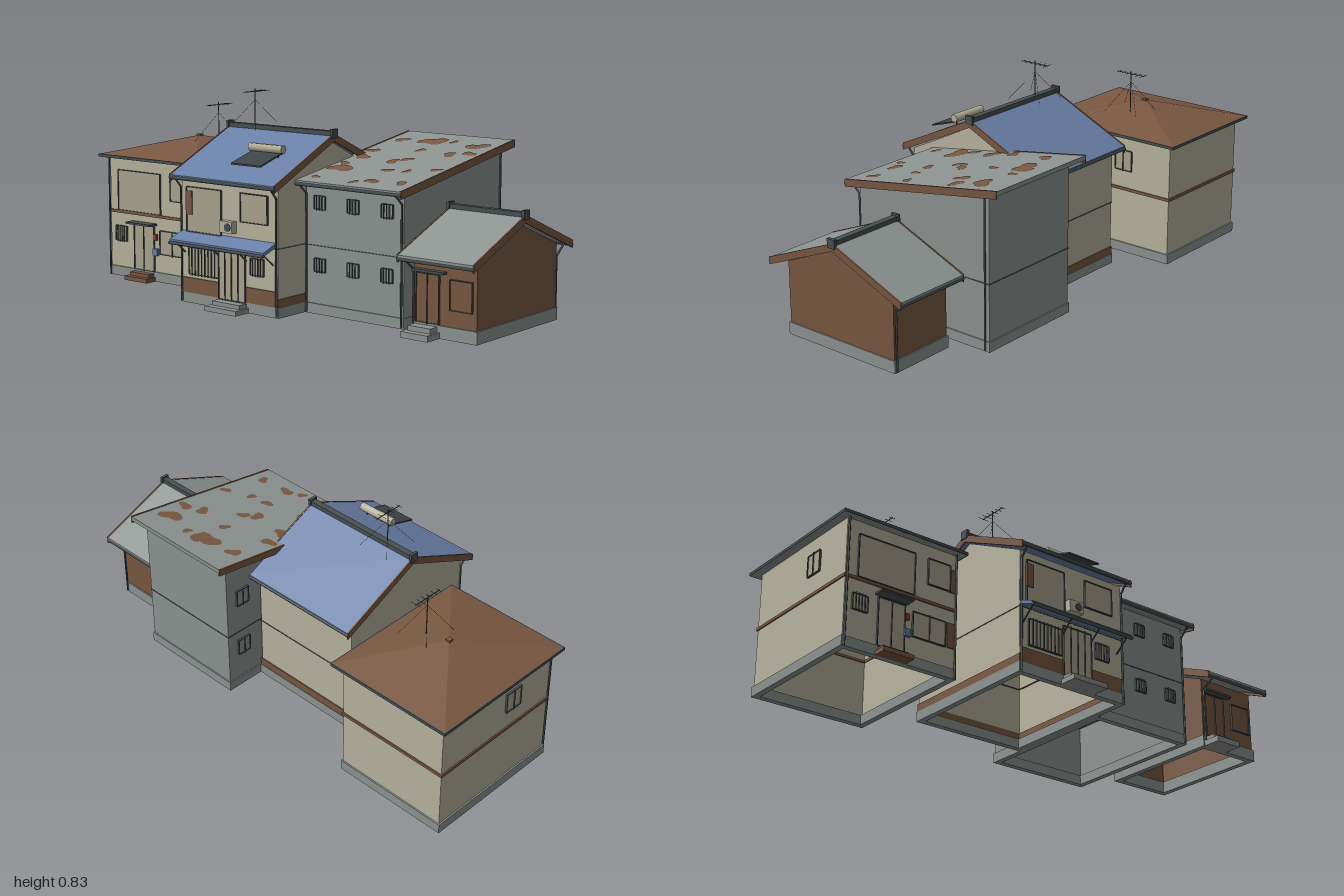
import * as THREE from 'three';

const mat = (name, color) => {
  const m = new THREE.MeshStandardMaterial({ color, side: THREE.DoubleSide });
  m.name = name;
  return m;
};

export function createModel() {
  const cream = mat('cream plaster', 0xb9b49f), shutter = mat('weathered shutter', 0xaca690);
  const grey = mat('grey concrete', 0x8d9491), brown = mat('brown timber', 0x7a5842);
  const blue = mat('blue tile', 0x6a80a8), dark = mat('dark metal', 0x475052);
  const panel = mat('solar panel', 0x3e4446), red = mat('red paint', 0x9a3f34);

  const model = new THREE.Group();
  const house = (name) => {
    const g = new THREE.Group();
    g.name = name;
    model.add(g);
    return g;
  };
  const add = (g, name, geo, m) => {
    const mesh = new THREE.Mesh(geo, m);
    mesh.name = name;
    g.add(mesh);
    return mesh;
  };
  // box given by its limits
  const box = (g, name, x0, x1, y0, y1, z0, z1, m) => {
    const b = add(g, name, new THREE.BoxGeometry(x1 - x0, y1 - y0, z1 - z0), m);
    b.position.set((x0 + x1) / 2, (y0 + y1) / 2, (z0 + z1) / 2);
    return b;
  };
  // side profile of [z, y] points
  const sideShape = (pts) => new THREE.Shape(pts.map(([z, y]) => new THREE.Vector2(-z, y)));
  const extrudeX = (g, name, pts, x0, x1, m) => {
    const geo = new THREE.ExtrudeGeometry(sideShape(pts), { depth: x1 - x0, bevelEnabled: false });
    add(g, name, geo.rotateY(Math.PI / 2), m).position.x = x0;
  };
  const rod = (g, name, a, b, r, m) => {
    const p = new THREE.Vector3(...a), q = new THREE.Vector3(...b);
    const mesh = add(g, name, new THREE.CylinderGeometry(r, r, p.distanceTo(q), 6), m);
    mesh.position.copy(p).add(q).multiplyScalar(0.5);
    mesh.quaternion.setFromUnitVectors(new THREE.Vector3(0, 1, 0), q.sub(p).normalize());
  };
  // open-bottomed wall shell; profile runs from front top to back top
  const walls = (g, x0, x1, profile, m) => {
    const [zf, yf] = profile[0], [zb, yb] = profile[profile.length - 1];
    const pts = [[zf, 0], ...profile, [zb, 0]];
    for (const x of [x0, x1])
      add(g, 'sideWall', new THREE.ShapeGeometry(sideShape(pts)).rotateY(Math.PI / 2), m).position.x = x;
    for (const [n, z, y, r] of [['frontWall', zf, yf, 0], ['backWall', zb, yb, Math.PI]]) {
      const w = add(g, n, new THREE.PlaneGeometry(x1 - x0, y).rotateY(r), m);
      w.position.set((x0 + x1) / 2, y / 2, z);
    }
  };
  // rectangular ring lying flat: outer limits, inset width, bottom and height
  const ring = (g, name, x0, x1, z0, z1, inset, y, h, m) => {
    const rect = (C, d) => new C([[x0 + d, -z0 - d], [x1 - d, -z0 - d], [x1 - d, -z1 + d], [x0 + d, -z1 + d]]
      .map((p) => new THREE.Vector2(...p)));
    const s = rect(THREE.Shape, 0);
    s.holes.push(rect(THREE.Path, inset));
    const geo = new THREE.ExtrudeGeometry(s, { depth: h, bevelEnabled: false }).rotateX(-Math.PI / 2);
    add(g, name, geo, m).position.y = y;
  };
  // sloped slab with boards along both verges
  const slope = (g, x0, x1, a, b, t, m) => {
    const pts = (up, th) => [[a[0], a[1] + up], [b[0], b[1] + up], [b[0], b[1] - th], [a[0], a[1] - th]];
    extrudeX(g, 'roofSlope', pts(0, t), x0 + 0.006, x1 - 0.006, m);
    for (const x of [x0, x1 - 0.006]) extrudeX(g, 'vergeBoard', pts(0.002, 0.028), x, x + 0.006, brown);
  };
  const gable = (g, x0, x1, zc, half, yr, ye, m) => {
    for (const s of [1, -1]) slope(g, x0, x1, [zc, yr], [zc + s * half, ye], 0.018, m);
    box(g, 'ridgeCap', x0, x1, yr - 0.008, yr + 0.012, zc - 0.013, zc + 0.013, dark);
    for (const x of [x0 - 0.004, x1 - 0.008])
      box(g, 'ridgeEnd', x, x + 0.012, yr - 0.016, yr + 0.02, zc - 0.018, zc + 0.018, dark);
  };
  // framed window, optionally with bars
  const win = (g, x, y, z, w, h, pane, bars = 0, turn = 0, name = 'window') => {
    const q = new THREE.Group();
    q.name = name;
    q.position.set(x, y, z);
    q.rotation.y = turn;
    g.add(q);
    const t = 0.0035;
    box(q, 'pane', -w / 2, w / 2, -h / 2, h / 2, 0.001, 0.004, pane);
    for (const s of [1, -1]) {
      box(q, 'jamb', s * w / 2 - t / 2, s * w / 2 + t / 2, -h / 2, h / 2, 0, 0.008, dark);
      box(q, 'rail', -w / 2, w / 2, s * h / 2 - t / 2, s * h / 2 + t / 2, 0, 0.008, dark);
    }
    for (let i = 1; i <= bars; i++) {
      const bx = -w / 2 + (w * i) / (bars + 1);
      box(q, 'bar', bx - 0.0015, bx + 0.0015, -h / 2 - 0.004, h / 2 + 0.004, 0.006, 0.01, dark);
    }
  };
  // gutter along an eave with a downpipe at each listed x
  const gutter = (g, x0, x1, y, z, zWall, pipes) => {
    rod(g, 'gutter', [x0, y, z], [x1, y, z], 0.007, dark);
    for (const x of pipes) {
      const s = Math.sign(z - zWall), zp = zWall + s * 0.008;
      rod(g, 'downpipeElbow', [x, y, z], [x, y - 0.04, zp], 0.004, dark);
      rod(g, 'downpipe', [x, y - 0.04, zp], [x, 0.005, zp], 0.004, dark);
    }
  };
  const antenna = (g, x, z, y0, y1) => {
    rod(g, 'antennaMast', [x, y0, z], [x, y1, z], 0.002, dark);
    const yb = y1 - 0.011;
    rod(g, 'antennaBoom', [x, yb, z - 0.065], [x, yb, z + 0.065], 0.0018, dark);
    for (let i = 0; i < 6; i++) {
      const zz = z - 0.06 + i * 0.024, l = 0.024 - i * 0.002;
      rod(g, 'antennaElement', [x - l, yb, zz], [x + l, yb, zz], 0.001, dark);
    }
    for (const sx of [-1, 1]) for (const sz of [-1, 1])
      rod(g, 'guyWire', [x, y1 - 0.045, z], [x + sx * 0.07, y0 + 0.01, z + sz * 0.08], 0.0006, dark);
  };
  const steps = (g, x0, x1, zw, m, h = 0.036, d = 0.08) => {
    box(g, 'upperStep', x0 + 0.01, x1 - 0.01, 0, h, zw, zw + d * 0.62, m);
    box(g, 'lowerStep', x0, x1, 0, h * 0.55, zw, zw + d, m);
  };

  // Hipped house
  const a = house('hippedHouse');
  walls(a, -0.965, -0.483, [[0.17, 0.508], [-0.425, 0.508]], cream);
  ring(a, 'plinth', -0.971, -0.477, -0.431, 0.176, 0.025, 0, 0.04, grey);
  ring(a, 'floorBand', -0.97, -0.478, -0.43, 0.175, 0.008, 0.27, 0.012, brown);
  const hip = new THREE.ConeGeometry(Math.SQRT1_2, 0.072, 4, 1, true).rotateY(Math.PI / 4).toNonIndexed();
  hip.scale(0.55, 1, 0.666).computeVertexNormals();
  add(a, 'hipRoof', hip, brown).position.set(-0.725, 0.552, -0.128);
  ring(a, 'soffit', -0.998, -0.452, -0.459, 0.203, 0.036, 0.505, 0.01, grey);
  ring(a, 'eaveGutter', -1, -0.45, -0.461, 0.205, 0.006, 0.505, 0.012, dark);
  box(a, 'roofFinial', -0.735, -0.715, 0.575, 0.593, -0.138, -0.118, brown);
  win(a, -0.792, 0.368, 0.17, 0.245, 0.17, shutter);
  win(a, -0.56, 0.4, 0.17, 0.1, 0.105, shutter);
  win(a, -0.9, 0.183, 0.17, 0.064, 0.062, shutter, 4);
  win(a, -0.6, 0.168, 0.17, 0.145, 0.098, shutter, 1);
  win(a, -0.765, 0.135, 0.17, 0.115, 0.19, shutter, 1, 0, 'door');
  box(a, 'doorCanopy', -0.835, -0.695, 0.236, 0.244, 0.17, 0.215, dark);
  box(a, 'mailbox', -0.71, -0.685, 0.11, 0.14, 0.17, 0.182, blue);
  box(a, 'meter', -0.705, -0.69, 0.175, 0.2, 0.17, 0.18, red);
  for (const [y0, y1] of [[0.345, 0.44], [0.12, 0.22]])
    box(a, 'rustPatch', -0.518, -0.484, y0, y1, 0.17, 0.174, brown);
  win(a, -0.965, 0.4, -0.04, 0.08, 0.085, shutter, 1, -Math.PI / 2);
  win(a, -0.483, 0.4, -0.2, 0.08, 0.085, shutter, 1, Math.PI / 2);
  for (const x of [-0.962, -0.486]) rod(a, 'downpipe', [x, 0.505, 0.18], [x, 0, 0.18], 0.004, dark);
  steps(a, -0.83, -0.7, 0.17, brown, 0.032, 0.06);
  antenna(a, -0.617, -0.13, 0.555, 0.735);

  // Blue-roofed house
  const b = house('blueRoofHouse');
  walls(b, -0.345, 0.15, [[0.38, 0.493], [0.07, 0.645], [-0.24, 0.493]], cream);
  ring(b, 'plinth', -0.351, 0.156, -0.246, 0.386, 0.025, 0, 0.04, grey);
  ring(b, 'stainBand', -0.349, 0.154, -0.244, 0.384, 0.008, 0.04, 0.032, brown);
  box(b, 'frontBoarding', -0.345, 0.15, 0.04, 0.1, 0.38, 0.386, brown);
  ring(b, 'floorBand', -0.347, 0.152, -0.242, 0.382, 0.006, 0.262, 0.004, dark);
  gable(b, -0.37, 0.17, 0.07, 0.355, 0.672, 0.507, blue);
  gutter(b, -0.37, 0.17, 0.496, 0.422, 0.38, [-0.342, 0.147]);
  gutter(b, -0.37, 0.17, 0.496, -0.283, -0.24, []);
  extrudeX(b, 'canopyRoof', [[0.38, 0.286], [0.452, 0.258], [0.452, 0.244], [0.38, 0.27]], -0.345, 0.14, blue);
  rod(b, 'canopyGutter', [-0.345, 0.245, 0.454], [0.14, 0.245, 0.454], 0.007, dark);
  for (const x of [-0.33, -0.145, -0.01, 0.125]) rod(b, 'canopyBrace', [x, 0.25, 0.44], [x, 0.2, 0.38], 0.003, dark);
  win(b, -0.225, 0.372, 0.38, 0.18, 0.175, shutter);
  win(b, 0.033, 0.405, 0.38, 0.135, 0.11, shutter);
  box(b, 'rustPatch', -0.318, -0.285, 0.35, 0.445, 0.384, 0.388, brown);
  win(b, -0.228, 0.168, 0.38, 0.155, 0.105, shutter, 8);
  win(b, 0.048, 0.183, 0.38, 0.066, 0.064, shutter, 4);
  win(b, -0.077, 0.138, 0.384, 0.135, 0.2, shutter, 3, 0, 'slidingDoor');
  box(b, 'airConditioner', -0.125, -0.06, 0.302, 0.348, 0.38, 0.406, cream);
  const fan = add(b, 'fanGrille', new THREE.CylinderGeometry(0.016, 0.016, 0.003, 16).rotateX(Math.PI / 2), dark);
  fan.position.set(-0.083, 0.325, 0.407);
  steps(b, -0.155, 0.005, 0.38, grey);
  // solar water heater
  extrudeX(b, 'solarPanel', [[0.37, 0.569], [0.24, 0.609], [0.24, 0.603], [0.37, 0.563]], -0.095, 0.055, panel);
  rod(b, 'waterTank', [-0.105, 0.62, 0.245], [0.062, 0.62, 0.245], 0.017, cream);
  for (const x of [-0.08, 0.04]) rod(b, 'heaterLeg', [x, 0.61, 0.25], [x, 0.585, 0.25], 0.003, dark);
  antenna(b, -0.235, 0.07, 0.66, 0.826);

  // Grey shed-roofed block
  const c = house('greyBlock');
  walls(c, 0.16, 0.62, [[0.225, 0.507], [-0.41, 0.611]], grey);
  ring(c, 'plinth', 0.155, 0.625, -0.415, 0.23, 0.025, 0, 0.04, grey);
  ring(c, 'floorBand', 0.158, 0.622, -0.412, 0.227, 0.006, 0.262, 0.004, dark);
  slope(c, 0.13, 0.645, [0.28, 0.515], [-0.465, 0.637], 0.018, grey);
  gutter(c, 0.135, 0.645, 0.502, 0.277, 0.225, [0.165, 0.615]);
  rod(c, 'rearPipe', [0.626, 0.6, -0.395], [0.626, 0.005, -0.395], 0.004, dark);
  for (const y of [0.43, 0.19]) {
    for (const x of [0.228, 0.387, 0.545]) win(c, x, y, 0.225, 0.052, 0.05, grey, 3);
    win(c, 0.16, y, -0.33, 0.06, 0.07, grey, 1, -Math.PI / 2);
  }
  // rust patches on the roof: x, z, radius
  const rust = [[0.2, -0.33, 0.03], [0.33, -0.34, 0.05], [0.37, -0.37, 0.03], [0.43, -0.36, 0.02], [0.56, -0.33, 0.045],
    [0.59, -0.23, 0.03], [0.52, -0.2, 0.03], [0.37, -0.22, 0.022], [0.18, -0.16, 0.03], [0.2, -0.07, 0.035],
    [0.36, -0.05, 0.03], [0.4, -0.09, 0.025], [0.22, 0.09, 0.05], [0.19, 0.03, 0.025], [0.5, 0.05, 0.02],
    [0.6, 0, 0.022], [0.45, 0.2, 0.03], [0.58, 0.19, 0.025], [0.39, 0.23, 0.02], [0.42, 0.06, 0.025], [0.2, 0.22, 0.02]];
  rust.forEach(([x, z, r], k) => {
    const pts = [];
    for (let i = 0; i < 14; i++) {
      const t = (i / 14) * Math.PI * 2;
      const q = r * (0.9 + 0.25 * Math.sin(2 * t + k * 1.7) + 0.15 * Math.sin(3 * t + k * 2.9));
      pts.push(new THREE.Vector2(q * Math.cos(t), q * Math.sin(t)));
    }
    const m = add(c, 'rustPatch', new THREE.ShapeGeometry(new THREE.Shape(pts)), brown);
    m.rotation.x = -Math.PI / 2 + Math.atan(0.122 / 0.745);
    m.position.set(x, 0.517 + (0.28 - z) * (0.122 / 0.745), z);
  });

  // Small timber house
  const d = house('timberHouse');
  walls(d, 0.69, 0.965, [[0.26, 0.292], [0, 0.4], [-0.265, 0.292]], brown);
  ring(d, 'plinth', 0.685, 0.97, -0.27, 0.266, 0.025, 0, 0.048, grey);
  gable(d, 0.664, 0.996, 0, 0.33, 0.432, 0.297, grey);
  gutter(d, 0.664, 0.996, 0.282, 0.326, 0.26, [0.695]);
  gutter(d, 0.664, 0.996, 0.282, -0.326, -0.265, [0.96]);
  win(d, 0.755, 0.14, 0.26, 0.1, 0.18, brown, 1, 0, 'door');
  win(d, 0.9, 0.165, 0.26, 0.095, 0.11, brown);
  box(d, 'doorHood', 0.695, 0.835, 0.237, 0.246, 0.26, 0.285, dark);
  steps(d, 0.69, 0.81, 0.26, grey, 0.042, 0.08);
  return model;
}
